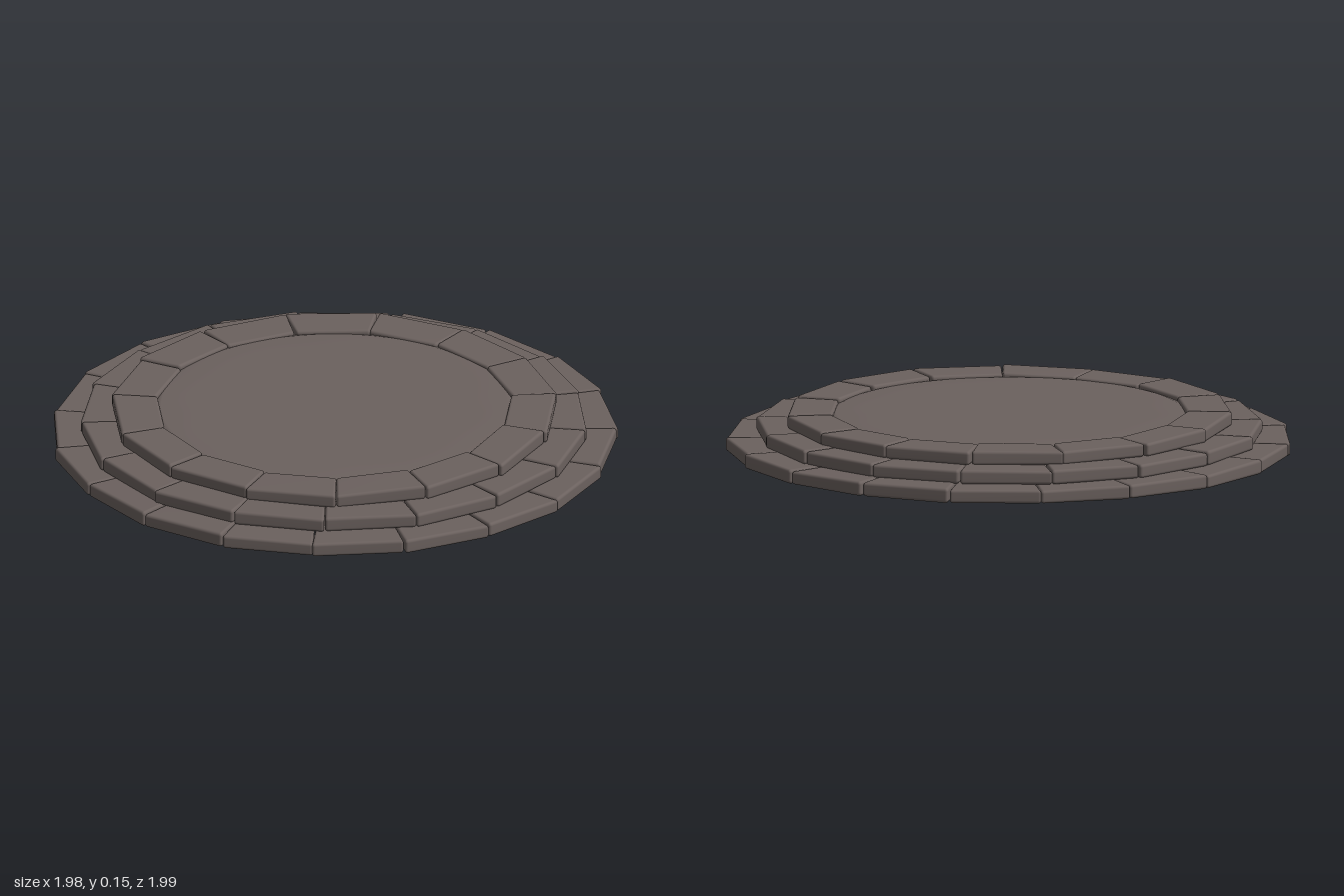
import * as THREE from 'three';
import { mergeVertices } from 'three/addons/utils/BufferGeometryUtils.js';
import { RoundedBoxGeometry } from 'three/addons/geometries/RoundedBoxGeometry.js';

const stoneMaterial = new THREE.MeshStandardMaterial({ color: 0x6b615e, side: THREE.DoubleSide });
stoneMaterial.name = 'warm grey stone';

// small seeded generator, returns -1..1
let seed = 11;
function jitter() {
  seed = (seed * 16807) % 2147483647;
  return (seed / 2147483647) * 2 - 1;
}

// A worn wedge-shaped block spanning one step of a ring, its outer face along +z
function stoneGeometry(inner, outer, y0, y1, step) {
  const half = step / 2;
  const width = 2 * outer * Math.sin(half), height = y1 - y0, depth = outer - inner;
  const geo = new RoundedBoxGeometry(width, height, depth, 3, 0.011);
  geo.deleteAttribute('uv');
  geo.deleteAttribute('normal');
  const pos = geo.attributes.position;
  const skew = jitter() * 0.006, shift = jitter() * 0.004;
  const tilt = jitter() * 0.003, lift = jitter() * 0.002, slant = jitter() * 0.008;
  for (let i = 0; i < pos.count; i++) {
    const u = pos.getX(i) / width, v = pos.getY(i) / height + 0.5, w = pos.getZ(i) / depth + 0.5;
    const r = (inner + w * depth) * Math.cos(half) + u * skew * 2 + shift;
    const x = u * (2 * r * Math.tan(half) - 0.002) + slant * (w - 0.5);
    pos.setXYZ(i, x, y0 + v * (height + lift + tilt * u * 2), r);
  }
  const smooth = mergeVertices(geo, 1e-5);
  smooth.computeVertexNormals();
  return smooth;
}

function stoneRing(name, count, inner, outer, y0, y1) {
  const ring = new THREE.Group();
  ring.name = name;
  const step = (Math.PI * 2) / count;
  for (let i = 0; i < count; i++) {
    const stone = new THREE.Mesh(stoneGeometry(inner, outer, y0, y1, step), stoneMaterial);
    stone.name = name + 'Stone';
    stone.rotation.y = 0.08 + (i + 0.5) * step;
    ring.add(stone);
  }
  return ring;
}

// Slightly uneven floor whose rim slopes down under the rings, hollow below
function floorShell() {
  const profile = [[0.84, 0.03], [0.74, 0.044], [0.69, 0.07], [0.65, 0.105], [0.632, 0.127], [0.61, 0.134],
    [0.5, 0.135], [0.38, 0.135], [0.25, 0.135], [0.12, 0.135], [0, 0.135]];
  const geo = new THREE.LatheGeometry(profile.map(([r, y]) => new THREE.Vector2(r, y)), 72);
  const pos = geo.attributes.position;
  for (let i = 0; i < pos.count; i++) {
    const x = pos.getX(i), z = pos.getZ(i), r = Math.hypot(x, z);
    if (r < 0.6) pos.setY(i, pos.getY(i) + 0.0015 * Math.sin(x * 11 + z * 5) * Math.sin(z * 13 - x * 4));
  }
  geo.deleteAttribute('uv');
  geo.deleteAttribute('normal');
  const smooth = mergeVertices(geo, 1e-5);
  smooth.computeVertexNormals();
  const mesh = new THREE.Mesh(smooth, stoneMaterial);
  mesh.name = 'floor';
  return mesh;
}

export function createModel() {
  const model = new THREE.Group();
  model.name = 'roundStoneDais';
  model.add(
    stoneRing('lowerStep', 19, 0.83, 0.996, 0, 0.05),
    stoneRing('middleStep', 17, 0.74, 0.895, 0.048, 0.097),
    stoneRing('upperStep', 15, 0.625, 0.785, 0.095, 0.144),
    floorShell()
  );
  return model;
}
